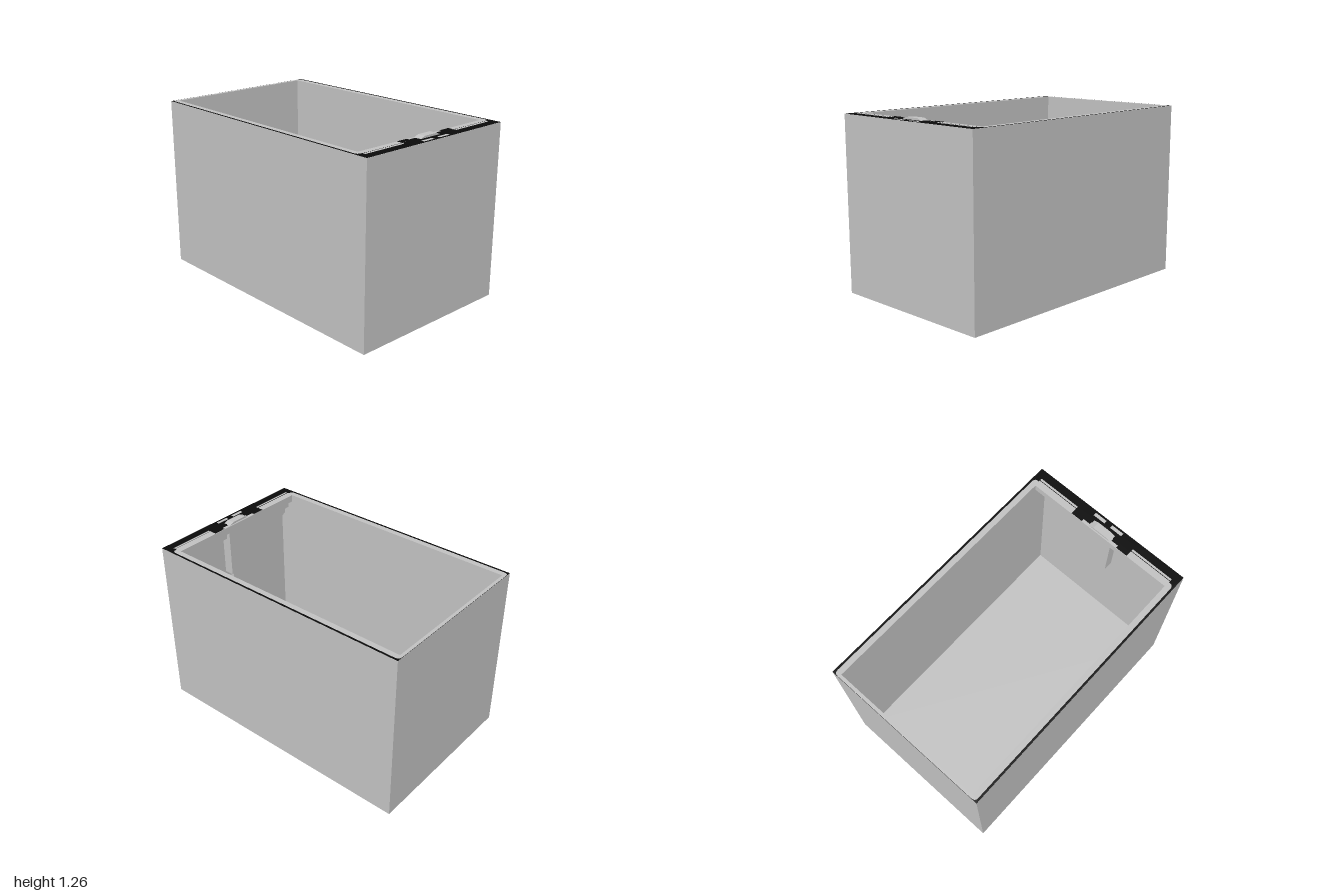
import * as THREE from 'three';

export function createModel() {
  const model = new THREE.Group();
  const grey = new THREE.MeshStandardMaterial({ color: 0xc0c0c0 });
  grey.name = 'grey body';
  const black = new THREE.MeshStandardMaterial({ color: 0x0a0a0a });
  black.name = 'black rim';

  const add = (name, geometry, material) => {
    const mesh = new THREE.Mesh(geometry, material);
    mesh.name = name;
    model.add(mesh);
    return mesh;
  };
  // Box given by its limits on each axis
  const block = (name, [x0, x1], [y0, y1], [z0, z1], material = grey) =>
    add(name, new THREE.BoxGeometry(x1 - x0, y1 - y0, z1 - z0), material)
      .position.set((x0 + x1) / 2, (y0 + y1) / 2, (z0 + z1) / 2);
  // Rectangle in plan (z pointing down the shape's -y) with optional rounded corners
  const plan = (x0, x1, z0, z1, r = 0, Type = THREE.Shape) => {
    const s = new Type();
    s.moveTo(x0 + r, -z1);
    s.lineTo(x1 - r, -z1);
    if (r) s.quadraticCurveTo(x1, -z1, x1, -z1 + r);
    s.lineTo(x1, -z0 - r);
    if (r) s.quadraticCurveTo(x1, -z0, x1 - r, -z0);
    s.lineTo(x0 + r, -z0);
    if (r) s.quadraticCurveTo(x0, -z0, x0, -z0 - r);
    s.lineTo(x0, -z1 + r);
    if (r) s.quadraticCurveTo(x0, -z1, x0 + r, -z1);
    s.closePath();
    return s;
  };
  const flat = (name, shape, y, material) =>
    add(name, new THREE.ShapeGeometry(shape, 4).rotateX(-Math.PI / 2), material).position.y = y;

  // Open shell
  const TOP = 1.242;
  block('floor', [-0.62, 0.62], [0, 0.04], [-1, 1]);
  block('backWall', [-0.62, 0.62], [0.04, TOP], [-1, -0.975]);
  block('frontWall', [-0.62, 0.62], [0.04, TOP], [0.98, 1]);
  for (const s of [-1, 1]) {
    const xs = s > 0 ? [0.565, 0.62] : [-0.62, -0.565];
    block(s > 0 ? 'leftWall' : 'rightWall', xs, [0.04, TOP], [-0.975, 0.98]);
  }

  // Stepped rails under the front rim
  block('upperRail', [-0.565, 0.565], [1.19, TOP], [0.87, 0.98]);
  block('lowerRail', [-0.565, 0.565], [1.13, 1.19], [0.91, 0.98]);

  // Tapered panel on the inside of the front wall
  const panel = new THREE.Shape([
    [-0.565, 1.13], [-0.565, 1.07], [-0.5, 1.04], [-0.39, 1.04], [-0.16, 0.66],
    [0.16, 0.66], [0.39, 1.04], [0.5, 1.04], [0.565, 1.07], [0.565, 1.13],
  ].map(([x, y]) => new THREE.Vector2(x, y)));
  add('taperedPanel', new THREE.ExtrudeGeometry(panel, { depth: 0.03, bevelEnabled: false }), grey)
    .position.z = 0.95;

  // Latch housing
  block('latchHousing', [-0.1, 0.1], [0.84, 1.19], [0.88, 0.96]);
  block('latchStem', [-0.05, 0.05], [0.74, 0.84], [0.92, 0.96]);

  // Black top rim around the grey inner border
  const rim = plan(-0.62, 0.62, -1, 1);
  rim.holes.push(plan(-0.605, 0.605, -0.998, 0.91, 0.03, THREE.Path));
  flat('topRim', rim, TOP + 0.001, black);

  // Rim details, mirrored
  for (const s of [-1, 1]) {
    const span = (a, b) => (s > 0 ? [a, b] : [-b, -a]);
    flat('rimGap', plan(...span(0.15, 0.24), 0.872, 0.912), TOP + 0.002, black);
    flat('rimStrip', plan(...span(0.24, 0.57), 0.9, 0.938), TOP + 0.002, grey);
    flat('rimStripLine', plan(...span(0.24, 0.57), 0.918, 0.922), TOP + 0.003, black);
    flat('rimTab', plan(...span(0.025, 0.12), 0.96, 0.985), TOP + 0.002, grey);
    flat('latchGap', plan(...span(0.095, 0.15), 0.892, 0.93), TOP + 0.002, black);
  }

  // Raised latch with sloping ends
  const latch = new THREE.Shape([
    [-0.09, 0], [0.09, 0], [0.055, 0.014], [-0.055, 0.014],
  ].map(([x, y]) => new THREE.Vector2(x, y)));
  add('latch', new THREE.ExtrudeGeometry(latch, { depth: 0.055, bevelEnabled: false }), grey)
    .position.set(0, TOP + 0.001, 0.878);

  return model;
}
